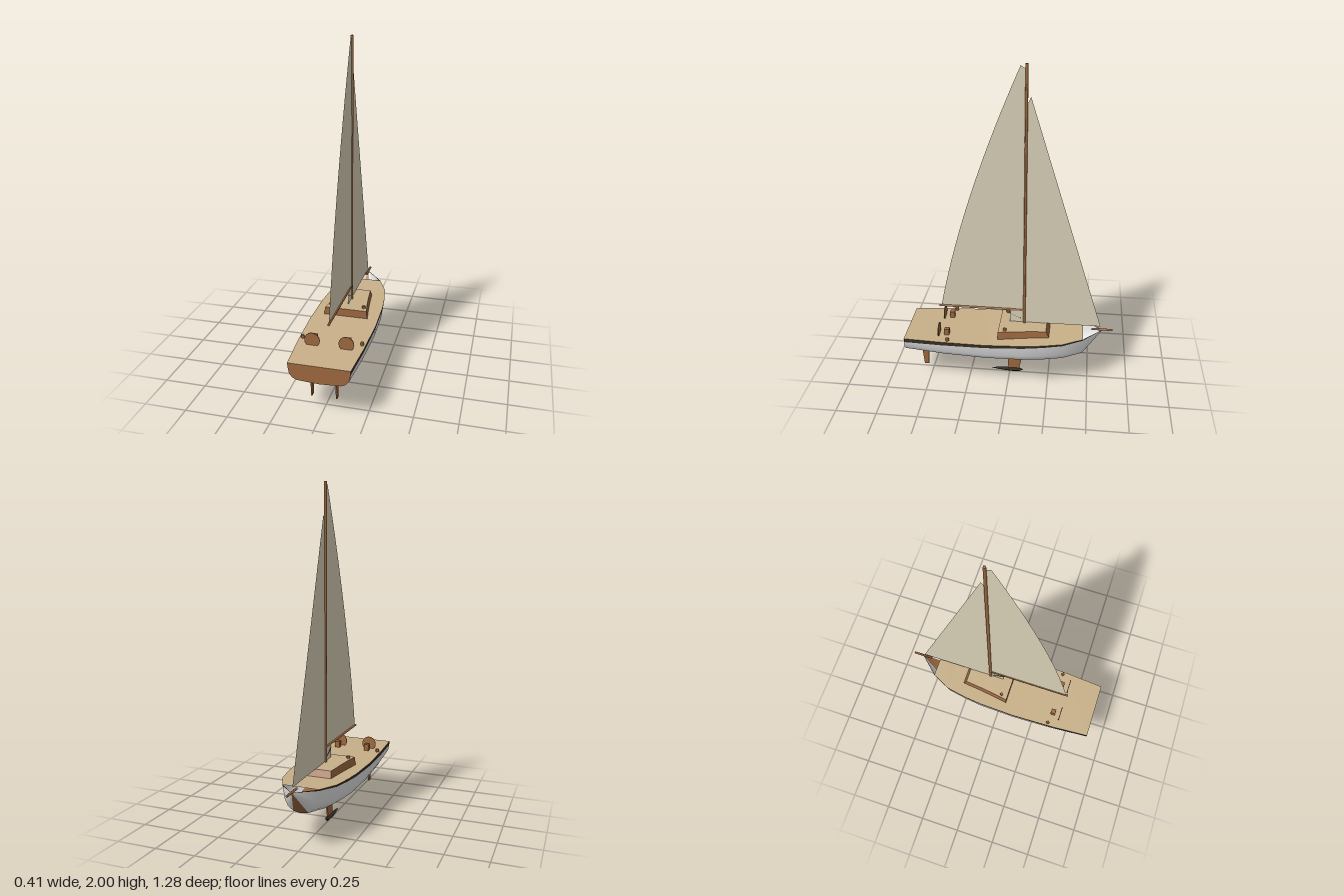
import * as THREE from 'three';

const mat = (name, color) => {
  const m = new THREE.MeshStandardMaterial({ color, side: THREE.DoubleSide });
  m.name = name;
  return m;
};

// Skin a list of cross-sections (each a list of [x, y, z]) running bow-ward
function loft(sections) {
  const n = sections[0].length, index = [];
  for (let i = 0; i < sections.length - 1; i++)
    for (let j = 0; j < n - 1; j++) {
      const a = i * n + j, b = a + n;
      index.push(a, b, a + 1, b, b + 1, a + 1);
    }
  const g = new THREE.BufferGeometry();
  g.setAttribute('position', new THREE.Float32BufferAttribute(sections.flat(2), 3));
  g.setIndex(index);
  g.computeVertexNormals();
  return g;
}

// Flat shape drawn in (z, y), laid in the x = 0 plane
function sidePlate(points, thickness) {
  const shape = new THREE.Shape(points.map(([z, y]) => new THREE.Vector2(-z, y)));
  const g = thickness
    ? new THREE.ExtrudeGeometry(shape, { depth: thickness, bevelEnabled: false }).translate(0, 0, -thickness / 2)
    : new THREE.ShapeGeometry(shape);
  return g.rotateY(Math.PI / 2);
}

export function createModel() {
  const boat = new THREE.Group();
  boat.name = 'sailboat';
  const white = mat('hull white', 0xf0f0f0);
  const wood = mat('wood', 0x9e693f);
  const tan = mat('deck tan', 0xc8b088);
  const cloth = mat('sail cloth', 0xdcd3ba);
  const dark = mat('dark trim', 0x3a3325);

  const add = (name, geometry, material, x = 0, y = 0, z = 0) => {
    const m = new THREE.Mesh(geometry, material);
    m.name = name;
    m.position.set(x, y, z);
    boat.add(m);
    return m;
  };
  const spar = (name, from, to, r, material, sides = 6) => {
    const a = new THREE.Vector3(...from), b = new THREE.Vector3(...to);
    const m = add(name, new THREE.CylinderGeometry(r, r, a.distanceTo(b), sides), material);
    m.position.copy(a).add(b).multiplyScalar(0.5);
    m.quaternion.setFromUnitVectors(new THREE.Vector3(0, 1, 0), b.sub(a).normalize());
  };

  // Hull stations: z, half beam, sheer, keel, chine height, chine ratio, stripe height
  const stations = [
    [0.64, 0.178, 0.328, 0.222, 0.229, 0.7, 0.026],
    [0.4, 0.195, 0.332, 0.197, 0.214, 0.72, 0.024],
    [0.13, 0.204, 0.336, 0.181, 0.205, 0.72, 0.021],
    [-0.1, 0.198, 0.342, 0.178, 0.202, 0.7, 0.018],
    [-0.22, 0.186, 0.346, 0.182, 0.203, 0.66, 0.015],
    [-0.34, 0.165, 0.351, 0.19, 0.207, 0.6, 0.012],
    [-0.46, 0.108, 0.357, 0.208, 0.216, 0.42, 0.008],
  ];
  // Half section from keel to sheer
  const section = ([z, b, s, k, c, r, t]) => {
    const h = s - t - c;
    return [[0, k, z], [b * r, c, z], [b * (r + (1 - r) * 0.5), c + h * 0.17, z],
      [b * (r + (1 - r) * 0.82), c + h * 0.48, z], [b * 0.99, s - t, z], [b, s, z]];
  };
  const halves = stations.map(section);
  const apex = [0, 0.366, -0.58];
  const mirror = ([x, y, z]) => [-x, y, z];
  const bow = (rings) => [...rings, rings[0].map((p) => [...apex])];

  add('hullBottom', loft(bow(halves.map((h) => [mirror(h[1]), h[0], h[1]]))), wood);
  for (const [side, flip] of [['left', false], ['right', true]]) {
    const band = (from, to) => bow(halves.map((h) => {
      const p = h.slice(from, to);
      return flip ? p.map(mirror).reverse() : p;
    }));
    add(side + 'Topside', loft(band(1, 5)), white);
    add(side + 'Stripe', loft(band(4, 6)), dark);
  }

  // Transom and deck
  const stern = halves[0];
  const outline = [...stern, ...stern.slice(1).map(mirror).reverse()];
  const transomShape = new THREE.Shape(outline.map(([x, y]) => new THREE.Vector2(x, y)));
  add('transom', new THREE.ShapeGeometry(transomShape), wood, 0, 0, 0.64);
  add('deck', loft(halves.map((h) => [h[5], mirror(h[5])])), tan);

  // Cabin: wooden walls flaring to the base, tan roof
  const base = [[0.06, 0.137], [-0.03, 0.123], [-0.12, 0.111], [-0.26, 0.098]];
  const roof = [[0.06, 0.129], [-0.03, 0.114], [-0.12, 0.102], [-0.233, 0.09]];
  const ring = (rows, y) => [...rows.map(([z, x]) => [x, y, z]),
    ...[...rows].reverse().map(([z, x]) => [-x, y, z]), [rows[0][1], y, rows[0][0]]];
  const low = ring(base, 0.332), high = ring(roof, 0.386);
  const walls = loft(low.map((p, i) => [p, high[i]])).toNonIndexed();
  walls.computeVertexNormals();
  add('cabinWalls', walls, wood);
  add('cabinRoof', loft(roof.map(([z, x]) => [[x, 0.386, z], [-x, 0.386, z]])), tan);

  // Mast, boom, bowsprit
  spar('mast', [0, 0.38, -0.092], [0, 2, -0.092], 0.009, wood, 5);
  spar('boom', [0, 0.476, -0.092], [0, 0.476, 0.443], 0.007, wood);
  spar('bowsprit', [0, 0.368, -0.513], [0, 0.368, -0.64], 0.007, wood);
  spar('jibSheet', [0, 0.452, 0.003], [0, 0.415, -0.07], 0.002, dark, 4);

  // Sails
  const leech = new THREE.QuadraticBezierCurve(
    new THREE.Vector2(0.43, 0.48), new THREE.Vector2(0.285, 1.2), new THREE.Vector2(-0.058, 1.99));
  add('mainsail', sidePlate([[-0.09, 0.48], ...leech.getPoints(14).map((p) => [p.x, p.y]), [-0.09, 1.97]]), cloth);
  add('jib', sidePlate([[-0.566, 0.39], [0, 0.39], [-0.1, 1.79], [-0.116, 1.823]]), cloth, 0.001);

  // Fin keel with a four-sided bulb
  add('keelFin', sidePlate([[0.018, 0.2], [-0.098, 0.2], [-0.06, 0.025], [0.008, 0.025]], 0.008), wood);
  const bulb = [[0, -0.12], [0.008, -0.08], [0.014, -0.03], [0.018, 0.02], [0.016, 0.06], [0, 0.09]]
    .map(([r, y]) => new THREE.Vector2(r, y));
  add('keelBulb', new THREE.LatheGeometry(bulb, 4).rotateX(-Math.PI / 2), dark, 0, 0.02, 0);

  // Paired fittings
  for (const [side, s] of [['left', 1], ['right', -1]]) {
    add(side + 'Rudder', sidePlate([[0.556, 0.23], [0.508, 0.23], [0.515, 0.076], [0.543, 0.076]], 0.007), wood, s * 0.072);
    add(side + 'Wheel', new THREE.CylinderGeometry(0.045, 0.045, 0.005, 20).rotateX(Math.PI / 2), wood, s * 0.1, 0.363, 0.43);
    add(side + 'Pedestal', new THREE.BoxGeometry(0.03, 0.045, 0.03), wood, s * 0.1, 0.35, 0.382);
    add(side + 'DeckWinch', new THREE.CylinderGeometry(0.011, 0.011, 0.024, 4), wood, s * 0.176, 0.341, 0.367);
    add(side + 'CabinWinch', new THREE.CylinderGeometry(0.011, 0.011, 0.02, 4), wood, s * 0.103, 0.392, 0.02);
  }
  return boat;
}
